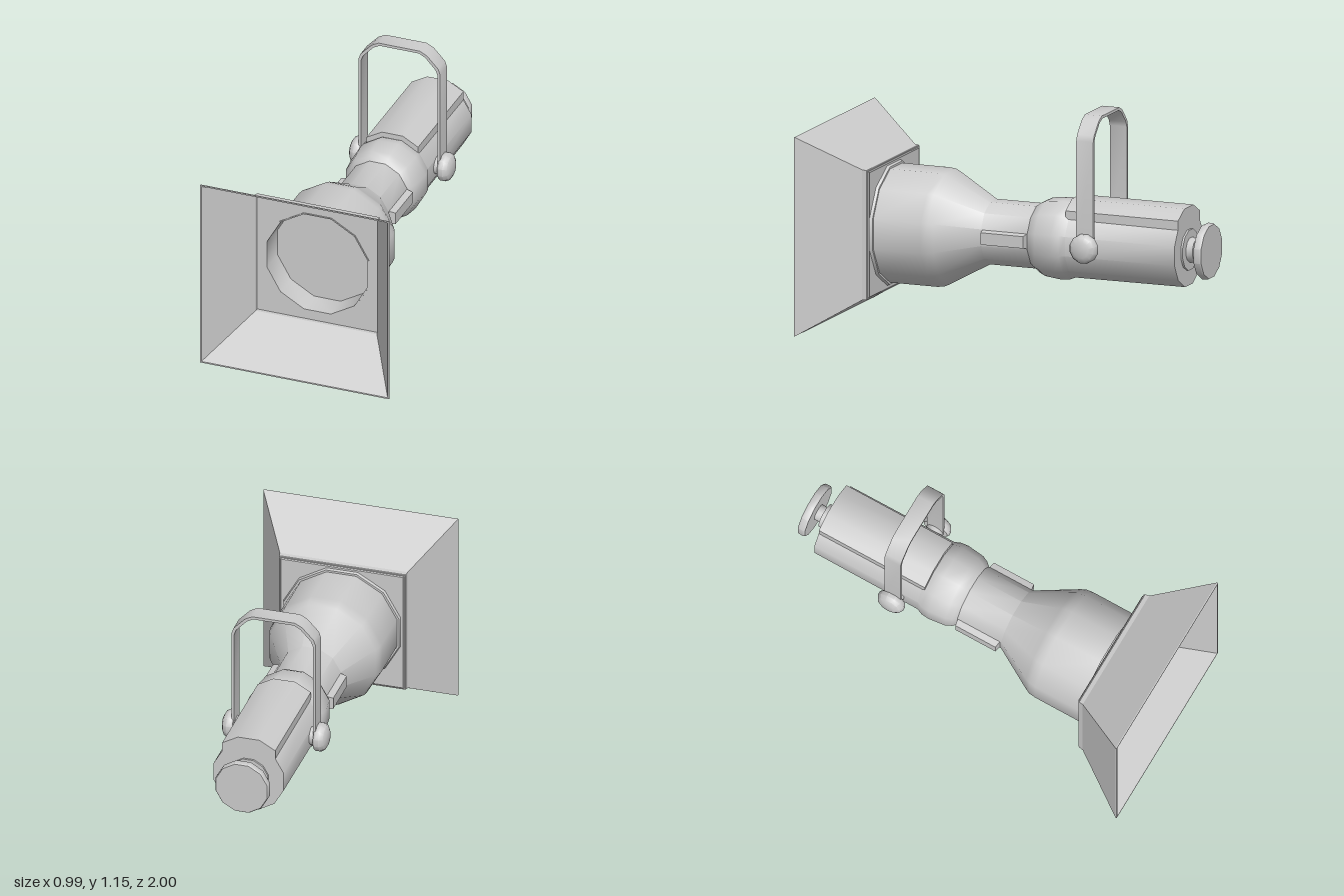
import * as THREE from 'three';
import { toCreasedNormals } from 'three/addons/utils/BufferGeometryUtils.js';

const AXIS_Y = 0.495;
const v2 = (pts) => pts.map(([x, y]) => new THREE.Vector2(x, y));

export function createModel() {
  const group = new THREE.Group();
  const mat = new THREE.MeshStandardMaterial({ color: 0xcccccc, side: THREE.DoubleSide });

  const add = (name, geo, crease = 0.6) => {
    const mesh = new THREE.Mesh(toCreasedNormals(geo, crease), mat);
    mesh.name = name;
    group.add(mesh);
    return mesh;
  };

  // Turned part along z; profile is [z, distance to the flat of a side]
  const turned = (name, profile, sides = 12, crease = 0.6) => {
    const k = 1 / Math.cos(Math.PI / sides);
    const geo = new THREE.LatheGeometry(v2(profile.map(([z, r]) => [r * k, z])), sides, Math.PI / sides);
    geo.rotateX(Math.PI / 2);
    geo.translate(0, AXIS_Y, 0);
    return add(name, geo, crease);
  };

  const extruded = (shape, depth, z) => {
    const geo = new THREE.ExtrudeGeometry(shape, { depth, bevelEnabled: false });
    geo.translate(0, AXIS_Y, z);
    return geo;
  };

  // Lamp housing, from the rear cap to the recessed lens
  turned('housing', [
    [-0.88, 0], [-0.88, 0.178], [-0.3, 0.18], [-0.27, 0.192], [-0.23, 0.196], [-0.14, 0.186],
    [-0.11, 0.172], [-0.09, 0.155], [0.155, 0.155], [0.36, 0.268], [0.385, 0.279], [0.42, 0.283],
    [0.695, 0.283], [0.695, 0.264], [0.57, 0.26], [0.57, 0],
  ]);
  turned('lensRim', [[0.69, 0.264], [0.7, 0.264], [0.7, 0.27], [0.69, 0.27]]);
  turned('frontCollar', [[0.67, 0.28], [0.67, 0.293], [0.69, 0.3]]);

  // Square flared hood with thin walls
  turned('hood', [
    [0.68, 0.31], [0.69, 0.322], [0.712, 0.325], [0.994, 0.495], [1, 0.495], [1, 0.488], [0.715, 0.318], [0.695, 0.318],
  ], 4, 0.4);

  // Back wall of the hood with an opening for the lens
  const wall = new THREE.Shape(v2([[-0.32, -0.32], [0.32, -0.32], [0.32, 0.32], [-0.32, 0.32]]));
  const hole = [];
  for (let i = 0; i < 12; i++) {
    const a = (i + 0.5) * Math.PI / 6;
    hole.push(new THREE.Vector2(Math.cos(a), Math.sin(a)).multiplyScalar(0.278));
  }
  wall.holes.push(new THREE.Path(hole));
  add('hoodBackWall', extruded(wall, 0.012, 0.684));

  // Raised cover on top of the rear housing
  const cover = new THREE.Shape(v2([
    [-0.135, 0.11], [0.135, 0.11], [0.135, 0.168], [0.055, 0.213], [-0.055, 0.213], [-0.135, 0.168],
  ]));
  add('topCover', extruded(cover, 0.596, -0.88));

  // Rear adjusting knob
  turned('rearKnob', [
    [-1, 0], [-1, 0.13], [-0.994, 0.134], [-0.966, 0.134], [-0.96, 0.13], [-0.96, 0.04], [-0.925, 0.04],
    [-0.925, 0.06], [-0.89, 0.06], [-0.89, 0.1], [-0.878, 0.1],
  ]);

  // Carrying yoke: a flat strap bent into an arch
  const outer = [[0.214, 0], [0.214, 0.54], [0.204, 0.57], [0.145, 0.632], [0.108, 0.651]];
  const inner = [[0.2, 0], [0.2, 0.536], [0.19, 0.562], [0.137, 0.619], [0.104, 0.637]];
  const mirrored = (pts) => pts.map(([x, y]) => [-x, y]).reverse();
  const strap = new THREE.Shape(v2([...outer, ...mirrored(outer), ...mirrored(inner).reverse(), ...[...inner].reverse()]));
  add('yoke', extruded(strap, 0.09, -0.465), 0.7);

  for (const side of [1, -1]) {
    const label = side > 0 ? 'left' : 'right';
    const turn = side > 0 ? 0 : Math.PI;

    // Pivot knob that clamps the yoke
    const knob = new THREE.LatheGeometry(v2([
      [0.045, 0.16], [0.045, 0.205], [0.066, 0.205], [0.073, 0.215], [0.073, 0.235], [0.062, 0.254], [0.04, 0.265], [0, 0.268],
    ]), 12, Math.PI / 12);
    knob.rotateZ(-Math.PI / 2);
    knob.rotateY(turn);
    knob.translate(0, AXIS_Y + 0.008, -0.42);
    add(label + 'PivotKnob', knob);

    // Side lug on the neck, tapered towards its outer face
    const lug = new THREE.BoxGeometry(0.06, 0.085, 0.245);
    const p = lug.attributes.position;
    for (let i = 0; i < p.count; i++) {
      if (p.getX(i) > 0) p.setXYZ(i, p.getX(i), p.getY(i) * 0.7, p.getZ(i) * 0.92);
    }
    lug.translate(0.158, 0, 0);
    lug.rotateY(turn);
    lug.translate(0, AXIS_Y + 0.003, 0.03);
    add(label + 'Lug', lug);
  }

  return group;
}
